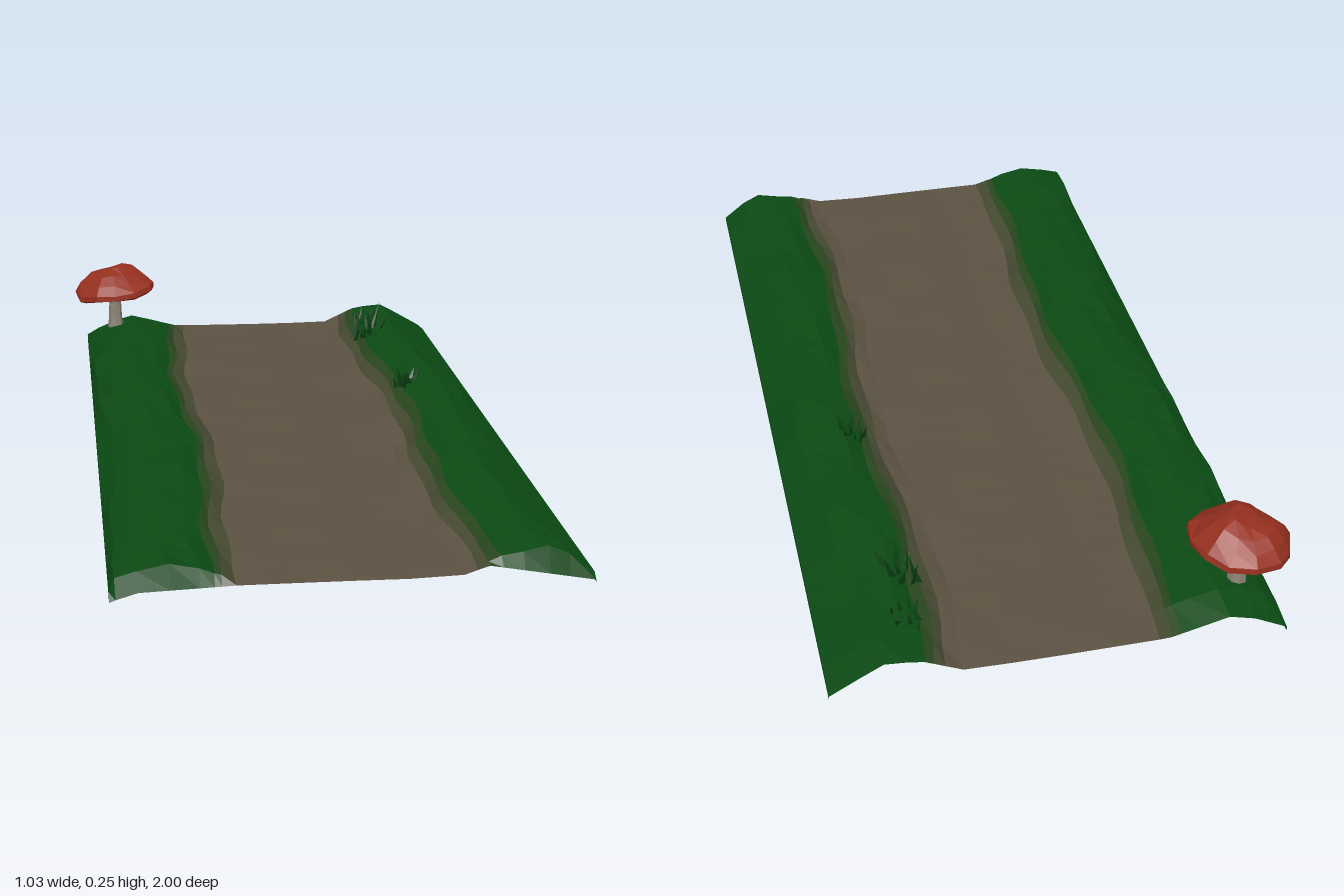
import * as THREE from 'three';

const GREEN = 0x0b4a14, MOSS = 0x29471f, SOIL = 0x454a31, BROWN = 0x5c5242;
const ROWS = 28;

// cross-section of the path: x, height
const SECTION = [
  [-0.485, 0.025], [-0.46, 0.058], [-0.42, 0.08], [-0.36, 0.088], [-0.3, 0.078], [-0.265, 0.062],
  [-0.245, 0.052], [-0.215, 0.036], [-0.12, 0.03], [0, 0.033], [0.12, 0.03], [0.225, 0.03],
  [0.26, 0.043], [0.285, 0.058], [0.31, 0.07], [0.35, 0.086], [0.4, 0.092], [0.445, 0.07], [0.515, 0.02],
];
const LAST = SECTION.length - 1;

// simpler outlines of the two open ends
const FRONT_END = [[-0.485, 0.008], [-0.44, 0.026], [-0.22, 0.033], [0, 0.031], [0.225, 0.028], [0.29, 0.05], [0.515, 0.008]];
const BACK_END = [[-0.485, 0.015], [-0.37, 0.074], [-0.22, 0.034], [0, 0.031], [0.225, 0.03], [0.32, 0.074], [0.4, 0.08], [0.515, 0.012]];

// crest height factor along z
const CREST = [[-1, 0.84], [-0.6, 0.97], [-0.3, 1.02], [0, 0.95], [0.3, 0.87], [0.4, 0.99], [0.6, 0.86], [0.8, 0.74], [1, 0.8]];

function lookup(table, t) {
  for (let i = 1; i < table.length; i++) {
    const [a, ya] = table[i - 1], [b, yb] = table[i];
    if (t <= b) return ya + (yb - ya) * Math.max(0, (t - a) / (b - a));
  }
  return table[table.length - 1][1];
}

function seeded(seed) {
  return () => {
    seed = (seed * 16807) % 2147483647;
    return seed / 2147483647;
  };
}

const ground = (x, z) => {
  const h = lookup(SECTION, x);
  return h > 0.034 ? 0.034 + (h - 0.034) * lookup(CREST, z) : h;
};

const material = (color) =>
  new THREE.MeshStandardMaterial({ color, flatShading: true, side: THREE.DoubleSide });

function add(parent, name, geometry, mat) {
  const mesh = new THREE.Mesh(geometry, mat);
  mesh.name = name;
  parent.add(mesh);
  return mesh;
}

// point of the surface at column i, row j, with a gentle wander
function surfacePoint(i, j) {
  const z = j === ROWS ? 1 : -1 + 1.985 * j / (ROWS - 1);
  let [x] = SECTION[i];
  let y = ground(x, z);
  if (i > 0 && i < LAST) {
    const side = Math.abs(x) > 0.2 ? 1 : 0.3;
    x += 0.014 * side * Math.sin(z * 5.3 + (x > 0 ? 2 : 0.4)) + 0.006 * side * Math.sin(z * 17 + i);
    y += 0.0035 * side * Math.sin(z * 13 + i * 2.4);
  }
  if (j === 0) y = lookup(BACK_END, x);
  if (j === ROWS) y = lookup(FRONT_END, x);
  return [x, y, z];
}

// thin open sheet between two columns, with a low skirt along the outer edges
function sheet(from, to) {
  const pos = [];
  const quad = (a, b, c, d) => pos.push(...a, ...b, ...c, ...a, ...c, ...d);
  const P = surfacePoint;
  const foot = (i, j) => {
    const [x, , z] = P(i, j);
    return [x, 0.004, z];
  };
  for (let j = 0; j < ROWS; j++) {
    for (let i = from; i < to; i++) quad(P(i, j), P(i, j + 1), P(i + 1, j + 1), P(i + 1, j));
    if (to === LAST) quad(foot(to, j + 1), foot(to, j), P(to, j), P(to, j + 1));
    if (from === 0) quad(foot(0, j), foot(0, j + 1), P(0, j + 1), P(0, j));
  }
  const g = new THREE.BufferGeometry();
  g.setAttribute('position', new THREE.Float32BufferAttribute(pos, 3));
  g.computeVertexNormals();
  return g;
}

// shift the vertices by a smooth rule so that shared corners stay joined
function roughen(geometry, amount) {
  const p = geometry.attributes.position;
  for (let i = 0; i < p.count; i++) {
    const x = p.getX(i), y = p.getY(i), z = p.getZ(i);
    p.setY(i, y + amount * Math.sin(x * 47 + z * 31));
    p.setX(i, x * (1 + amount * 8 * Math.sin(z * 40 + y * 50)));
  }
  geometry.computeVertexNormals();
  return geometry;
}

function createMushroom() {
  const group = new THREE.Group();
  group.name = 'mushroom';
  const lathe = (profile, sides) =>
    new THREE.LatheGeometry(profile.map(([r, y]) => new THREE.Vector2(r, y)), sides);

  // hollow, tilted cap
  const cap = add(group, 'mushroomCap', roughen(lathe([
    [0, 0.025], [0.05, 0.014], [0.098, -0.018], [0.114, -0.012], [0.113, 0.002],
    [0.092, 0.024], [0.066, 0.045], [0.035, 0.059], [0, 0.061],
  ], 12), 0.006), material(0x96301f));
  cap.position.set(0, 0.186, 0);
  cap.rotation.z = 0.13;

  add(group, 'mushroomStem', roughen(lathe([
    [0.023, 0.07], [0.019, 0.1], [0.017, 0.14], [0.02, 0.17], [0.03, 0.205],
  ], 8), 0.002), material(0x8b8375));
  group.position.set(-0.404, 0, -0.885);
  return group;
}

// tuft of blades leaning outwards
function createTuft(x, z, spread, height, count, seed) {
  const group = new THREE.Group();
  group.name = 'grassTuft';
  const rand = seeded(seed);
  const mat = material(0x0a3f12);
  for (let i = 0; i < count; i++) {
    const angle = i * 2.4, r = spread * Math.sqrt((i + 0.5) / count);
    const h = height * (0.55 + 0.45 * rand());
    const blade = new THREE.ConeGeometry(0.011, h, 3);
    blade.scale(1, 1, 0.45);
    blade.translate(0, h / 2, 0);
    const mesh = add(group, 'grassBlade', blade, mat);
    const bx = x + r * Math.cos(angle), bz = z + r * Math.sin(angle);
    const lean = 0.2 + 0.4 * rand();
    mesh.position.set(bx, ground(bx, bz) - 0.008, bz);
    mesh.rotation.set(lean * Math.sin(angle), rand() * 3, -lean * Math.cos(angle));
  }
  return group;
}

export function createModel() {
  const model = new THREE.Group();
  model.name = 'pathSection';

  // banks, soil transitions and road
  const strips = [
    ['rightBank', 0, 5, GREEN], ['rightMossyEdge', 5, 6, MOSS], ['rightSoilEdge', 6, 7, SOIL],
    ['road', 7, 12, BROWN],
    ['leftSoilEdge', 12, 13, SOIL], ['leftMossyEdge', 13, 14, MOSS], ['leftBank', 14, LAST, GREEN],
  ];
  for (const [name, from, to, color] of strips) add(model, name, sheet(from, to), material(color));

  model.add(createMushroom());

  // grass on the left bank
  model.add(createTuft(0.305, -0.715, 0.04, 0.105, 13, 11));
  model.add(createTuft(0.33, -0.2, 0.028, 0.06, 9, 23));
  model.add(createTuft(0.32, -0.86, 0.036, 0.05, 9, 37));
  return model;
}
